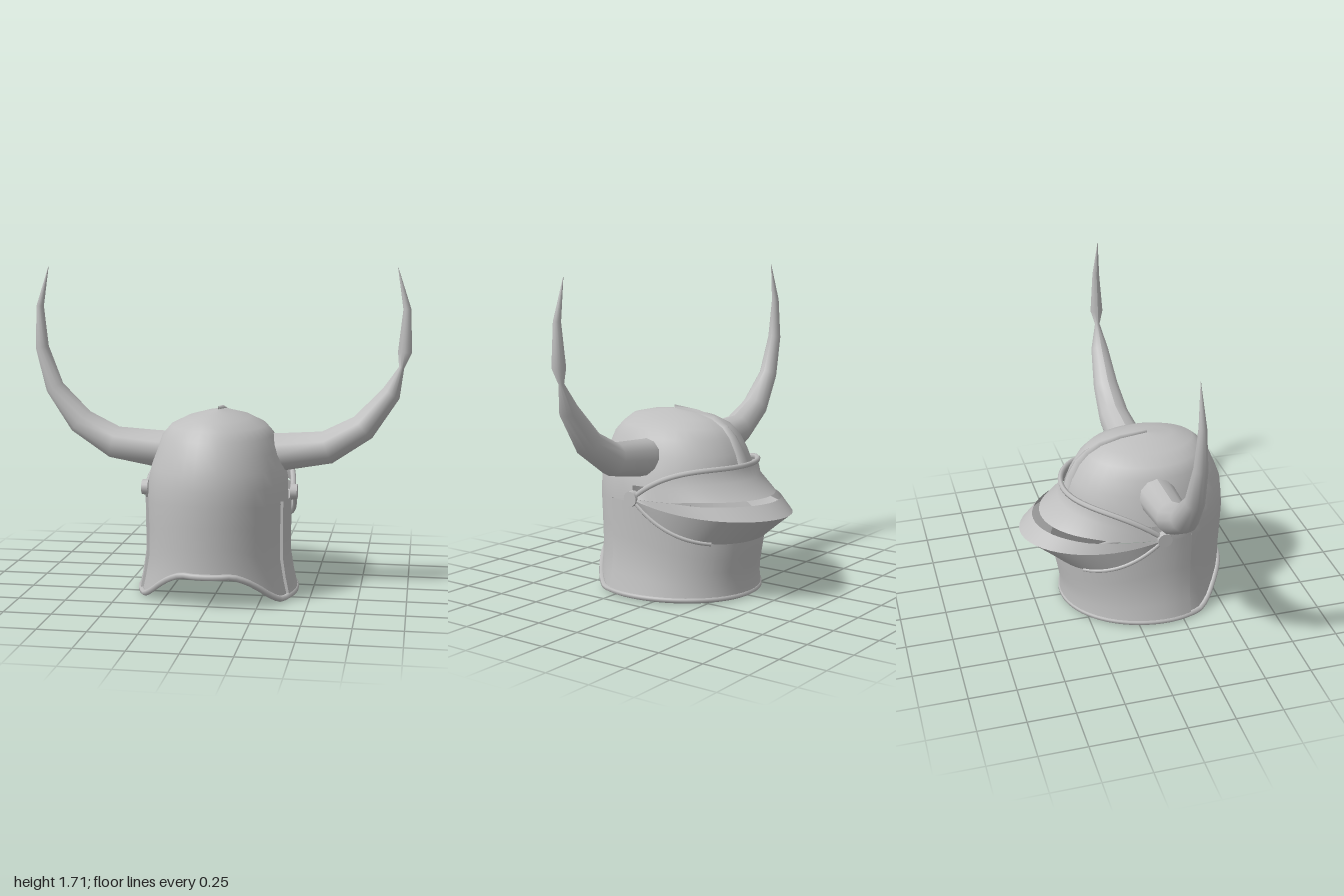
import * as THREE from 'three';

const V = (x, y, z) => new THREE.Vector3(x, y, z);
const clamp = THREE.MathUtils.clamp, lerp = THREE.MathUtils.lerp;
const steel = new THREE.MeshStandardMaterial({ color: 0xbfbfbf, side: THREE.DoubleSide });
steel.name = 'steel grey';

// Skin between rows of points; keep(row, column) can leave quads out
function loft(rows, keep = () => true) {
  const n = rows[0].length, index = [];
  for (let r = 0; r < rows.length - 1; r++)
    for (let c = 0; c < n - 1; c++) {
      if (!keep(r, c)) continue;
      const a = r * n + c, b = a + n;
      index.push(a, a + 1, b, a + 1, b + 1, b);
    }
  const g = new THREE.BufferGeometry().setFromPoints(rows.flat());
  g.setIndex(index);
  g.computeVertexNormals();
  return g;
}

// Helmet section by height: y, half width, back z, front z
const PROFILE = [
  [0.016, 0.41, 0.56, -0.335], [0.1, 0.39, 0.555, -0.33], [0.2, 0.372, 0.553, -0.35],
  [0.35, 0.37, 0.558, -0.378], [0.5, 0.373, 0.568, -0.36], [0.6, 0.368, 0.562, -0.31],
  [0.68, 0.35, 0.553, -0.31], [0.76, 0.32, 0.523, -0.28], [0.84, 0.293, 0.488, -0.235],
  [0.89, 0.25, 0.445, -0.185], [0.93, 0.17, 0.4, -0.11], [0.955, 0.08, 0.29, 0.0], [0.968, 0.001, 0.152, 0.148],
];
const MID = 0.15;
function section(y) {
  let i = 0;
  while (i < PROFILE.length - 2 && y > PROFILE[i + 1][0]) i++;
  const p = PROFILE[i], q = PROFILE[i + 1], t = clamp((y - p[0]) / (q[0] - p[0]), 0, 1);
  return [1, 2, 3].map(k => lerp(p[k], q[k], t));
}
// Point on the helmet at angle a (0 = +z), pushed outward by out
function onShell(a, y, out = 0) {
  const [w, back, front] = section(y), c = Math.cos(a);
  const depth = c > 0 ? back - MID : MID - front;
  return V((w + out) * Math.sin(a), y, MID + (depth + out) * c);
}
// The lower edge rises at the neck
const hem = a => 0.016 + clamp((MID + 0.41 * Math.cos(a) - 0.38) / 0.15, 0, 1) * 0.15;

export function createModel() {
  const model = new THREE.Group();
  model.name = 'hornedHelmet';
  const add = (name, geometry, parent = model) => {
    const m = new THREE.Mesh(geometry, steel);
    m.name = name;
    parent.add(m);
    return m;
  };
  const rim = (name, pts, radius, closed = false) =>
    add(name, new THREE.TubeGeometry(new THREE.CatmullRomCurve3(pts, closed), pts.length * 2, radius, 6, closed));

  // Skull: full dome above, open face below
  const COLS = 36, angles = Array.from({ length: COLS + 1 }, (_, i) => -Math.PI + (i / COLS) * 2 * Math.PI);
  const low = [0, 0.14, 0.32, 0.58, 0.83];
  const rows = low.map(t => angles.map(a => onShell(a, lerp(hem(a), 0.6, t))));
  for (const p of PROFILE.slice(5)) rows.push(angles.map(a => onShell(a, p[0])));
  add('skull', loft(rows, (r, c) => r >= low.length || Math.abs((angles[c] + angles[c + 1]) / 2) < 1.6));

  // Chin and cheek plate around the front, overlapping the skull
  const A0 = 1.22;
  const chinAngles = Array.from({ length: 31 }, (_, i) => lerp(A0, 2 * Math.PI - A0, i / 30));
  const chinTop = a => {
    const z = MID + 0.52 * Math.cos(a), t = clamp((0.1 - z) / 0.47, 0, 1);
    return 0.515 - 0.15 * (1 - (1 - t) ** 2);
  };
  const chinRows = [0, 0.2, 0.4, 0.6, 0.8, 1].map(t =>
    chinAngles.map(a => onShell(a, lerp(hem(a), chinTop(a), t), 0.013)));
  add('chinPlate', loft(chinRows));
  // Turned-in rear edges of the cheek plate
  for (const [name, col] of [['leftCheekEdge', 0], ['rightCheekEdge', 30]])
    add(name, loft([chinRows.map(r => r[col]), chinRows.map(r => r[col].clone().multiply(V(0.95, 1, 1)))]));

  // Rolled hem
  rim('hemRim', angles.slice(0, -1).map(a => onShell(a, hem(a), 0.004)), 0.016, true);

  // Crest ridge, widening towards the brow
  const spine = PROFILE.slice(6).reverse().map(p => [p[3], p[0]]);
  add('crestRidge', loft(spine.map(([z, y], i) => {
    const h = lerp(0.004, 0.042, i / (spine.length - 1));
    const d = V(0, y - 0.5, z - MID).normalize();
    const at = (x, k) => V(x, y, z).addScaledVector(d, k);
    return [at(-h, -0.03), at(-h, 0.004), at(0, 0.017), at(h, 0.004), at(h, -0.03)];
  })));

  // Visor rows run from pivot to pivot around the front
  const N = 32;
  const sweep = t => 1 - (1 - t) ** 2.3;
  const slit = t => clamp((t - 0.4) * 5, 0, 1);
  const visorRow = (zc, yc, w, ease = sweep) => Array.from({ length: N + 1 }, (_, i) => {
    const b = (i / N - 0.5) * Math.PI, t = Math.cos(b);
    return V(w * Math.sin(b), lerp(0.537, yc, ease(t)), lerp(0.13, zc, t));
  });
  const top = visorRow(-0.325, 0.705, 0.392);
  const tip = visorRow(-0.565, 0.455, 0.41);
  const bottom = visorRow(-0.39, 0.315, 0.4);
  add('visorBrow', loft([top, visorRow(-0.345, 0.63, 0.4), visorRow(-0.45, 0.547, 0.405, slit)]));
  add('visorSnout', loft([visorRow(-0.49, 0.527, 0.407, slit), tip]));
  add('visorJaw', loft([tip, visorRow(-0.475, 0.385, 0.406), bottom]));
  rim('visorTopRim', top, 0.015);
  rim('visorLowerRimRight', bottom.slice(0, 10), 0.012);
  rim('visorLowerRimLeft', bottom.slice(-10), 0.012);

  // Horn rings: x, y, radius
  const horn = [
    [0.26, 0.742, 0.102], [0.33, 0.745, 0.1], [0.57, 0.775, 0.088], [0.755, 0.885, 0.073],
    [0.897, 1.065, 0.05], [0.963, 1.28, 0.036], [0.97, 1.5, 0.02], [0.92, 1.71, 0.001],
  ];
  const hornGeometry = (rings, side) => loft(rings.map(([x, y, r], i) => {
    const p = rings[Math.max(i - 1, 0)], q = rings[Math.min(i + 1, rings.length - 1)];
    const d = V(q[0] - p[0], q[1] - p[1], 0).normalize();
    return Array.from({ length: 13 }, (_, k) => {
      const a = (k / 12) * 2 * Math.PI, u = r * Math.cos(a);
      return V(side * (x - d.y * u), y + d.x * u, 0.12 + side * r * Math.sin(a));
    });
  }));
  // The left horn is pinched below its tip section
  const pinched = [...horn.slice(0, 5), [0.947, 1.2, 0.014], ...horn.slice(5)];
  add('rightHorn', hornGeometry(horn, -1));
  add('leftHorn', hornGeometry(pinched, 1));

  // Pivot studs and breathing-hole studs on both sides
  for (const s of [1, -1]) {
    const side = s > 0 ? 'left' : 'right';
    const pivot = add(side + 'Pivot', new THREE.CylinderGeometry(0.04, 0.042, 0.035, 14));
    pivot.rotation.z = -s * Math.PI / 2;
    pivot.position.set(s * 0.4, 0.537, 0.132);
    for (const [x, y, z] of [[0.272, 0.457, -0.335], [0.262, 0.412, -0.32]]) {
      const stud = add(side + 'VisorStud', new THREE.SphereGeometry(0.01, 8, 6));
      stud.position.set(s * x, y, z);
    }
  }
  return model;
}
